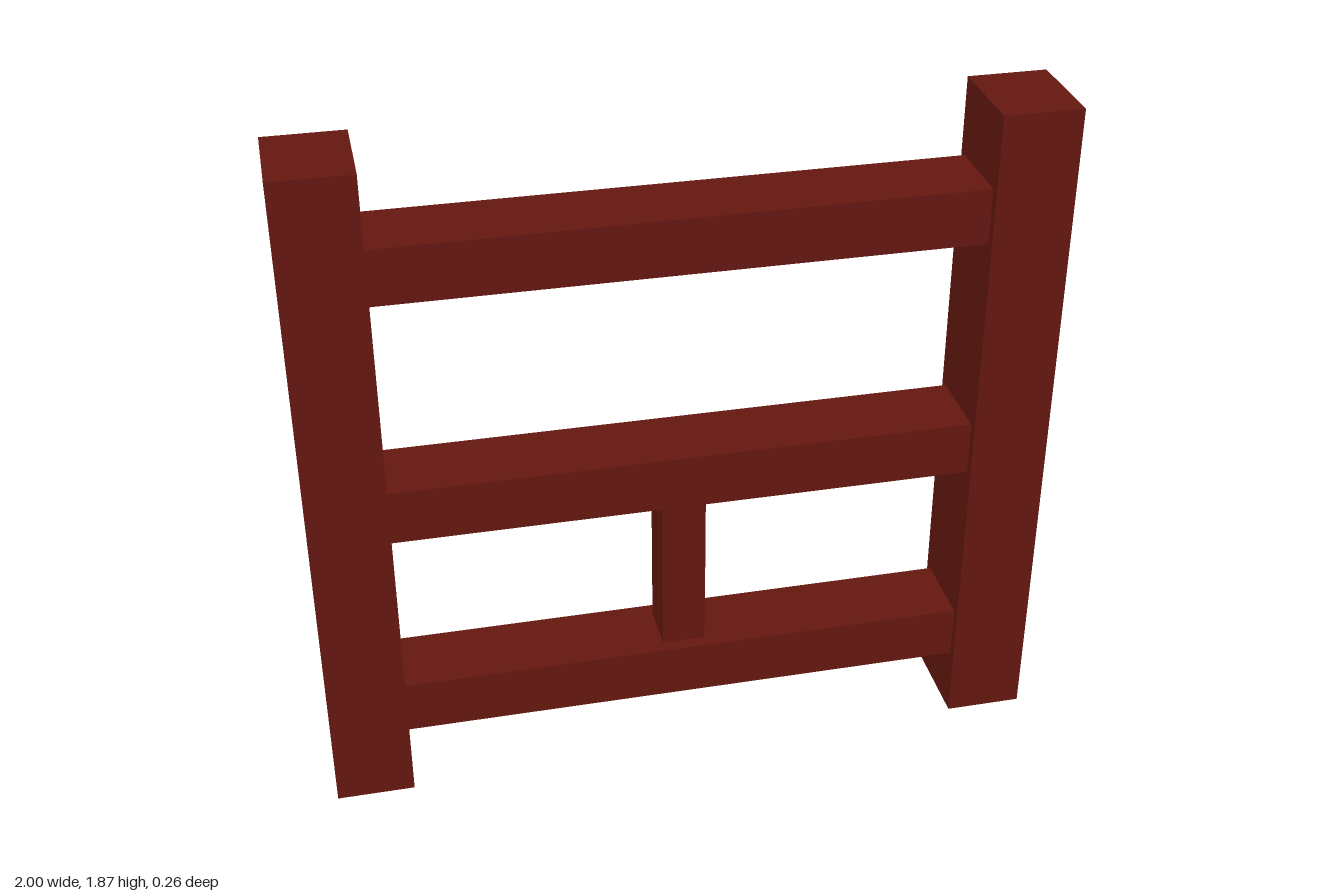
import * as THREE from 'three';

export function createModel() {
  const group = new THREE.Group();
  const wood = new THREE.MeshStandardMaterial({ color: 0x651710, flatShading: true });

  // Box timber centred on z = 0, standing on height y
  function timber(name, width, height, depth, x, y) {
    const mesh = new THREE.Mesh(new THREE.BoxGeometry(width, height, depth), wood);
    mesh.name = name;
    mesh.position.set(x, y + height / 2, 0);
    group.add(mesh);
  }

  // Upright end posts
  const postWidth = 0.213;
  for (const side of [-1, 1]) {
    timber(side > 0 ? 'leftPost' : 'rightPost', postWidth, 1.872, 0.265, side * (1 - postWidth / 2), 0);
  }

  // Horizontal rails between the posts
  const span = 2 - 2 * postWidth;
  const rails = { bottomRail: 0.19, middleRail: 0.818, topRail: 1.512 };
  for (const [name, y] of Object.entries(rails)) timber(name, span, 0.153, 0.214, 0, y);

  // Short strut joining the two lower rails
  timber('centreStrut', 0.12, 0.475, 0.143, 0, 0.343);

  return group;
}
